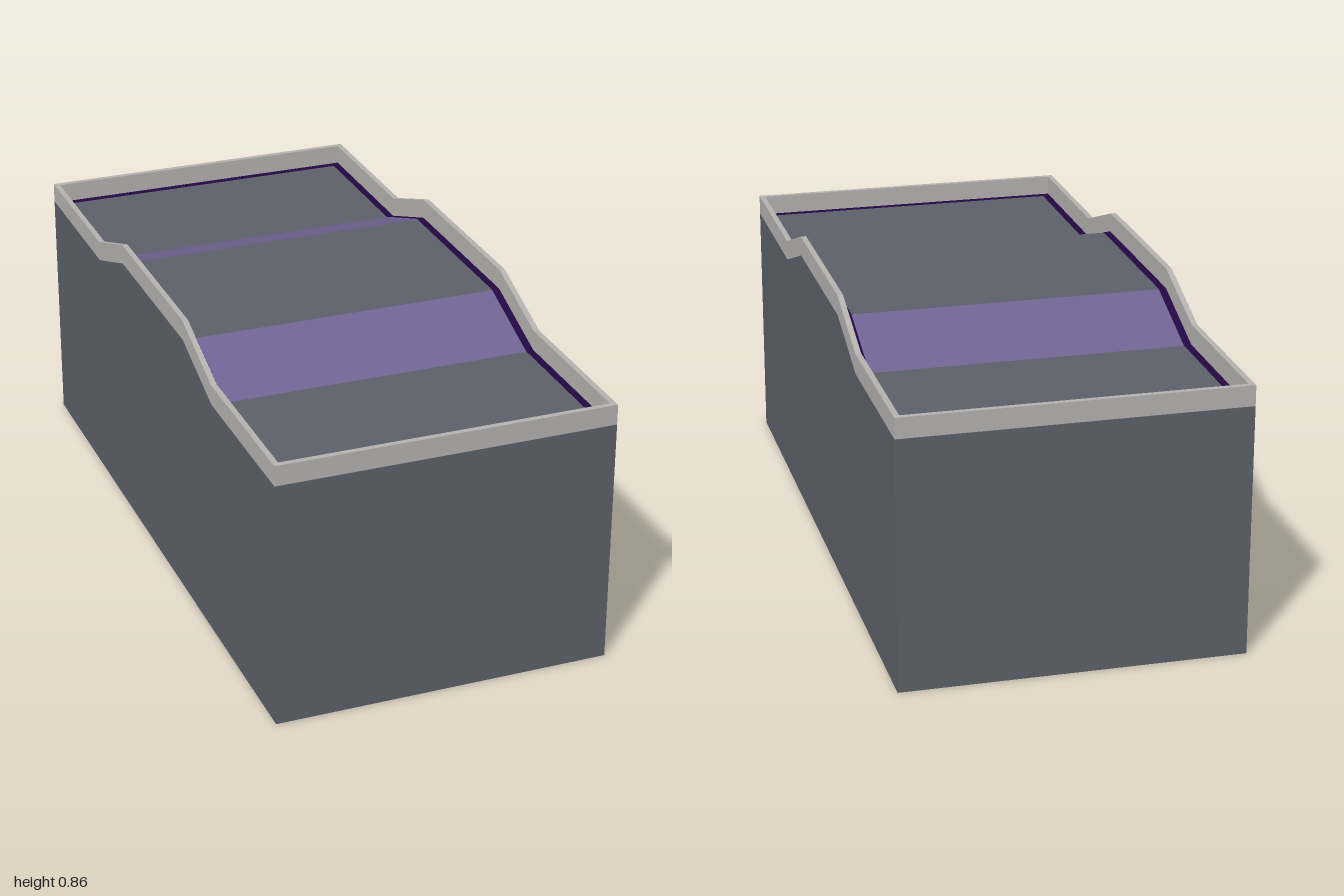
import * as THREE from 'three';

const W = 0.481, L = 1, LOW = 0.713, HIGH = 0.8, TRIM_H = 0.059, TRIM_T = 0.016, LINE = 0.022;

// Roof line from back to front as [z, y]
const ROOF = [[-L, LOW], [-0.512, LOW], [-0.275, HIGH], [0.275, HIGH], [0.512, LOW], [L, LOW]];

const mat = (name, color, side = THREE.FrontSide) => {
  const m = new THREE.MeshStandardMaterial({ color, side });
  m.name = name;
  return m;
};

// Upward-facing sheet that follows a [z, y] line between two x positions
function ribbon(line, x0, x1, lift = 0) {
  const pos = [];
  for (let i = 0; i < line.length - 1; i++) {
    const [za, ya] = line[i], [zb, yb] = line[i + 1];
    const a = [x0, ya + lift, za], b = [x0, yb + lift, zb];
    const c = [x1, yb + lift, zb], d = [x1, ya + lift, za];
    pos.push(...a, ...b, ...c, ...a, ...c, ...d);
  }
  const g = new THREE.BufferGeometry();
  g.setAttribute('position', new THREE.Float32BufferAttribute(pos, 3));
  g.computeVertexNormals();
  return g;
}

const outline = (points) => new THREE.Shape(points.map(([z, y]) => new THREE.Vector2(z, y)));

export function createModel() {
  const group = new THREE.Group();
  const wall = mat('wall grey', 0x5c5f68, THREE.DoubleSide);
  const slope = mat('slope purple', 0x6f6393, THREE.DoubleSide);
  const trim = mat('trim light grey', 0xb3b1ae);
  const edge = mat('border dark purple', 0x220842);

  const add = (name, geometry, material) => {
    const m = new THREE.Mesh(geometry, material);
    m.name = name;
    group.add(m);
    return m;
  };

  // Roof sheets: flat sections grey, slopes purple
  for (let i = 0; i < 5; i++) {
    const sloped = i % 2 === 1;
    add(sloped ? 'roofSlope' : 'roofFlat', ribbon(ROOF.slice(i, i + 2), -W, W), sloped ? slope : wall);
  }

  // Open-bottomed walls and the raised rim above them
  const sideShape = outline([[-L, 0], [L, 0], ...[...ROOF].reverse()]);
  const rimShape = outline([
    ...ROOF.map(([z, y]) => [z, y + 0.001]),
    ...[...ROOF].reverse().map(([z, y]) => [z, y + TRIM_H]),
  ]);
  const inX = W - TRIM_T, inZ = L - TRIM_T;

  for (const s of [-1, 1]) {
    const side = new THREE.ShapeGeometry(sideShape).rotateY(-Math.PI / 2);
    add('sideWall', side, wall).position.x = s * W;

    const end = new THREE.PlaneGeometry(2 * W, LOW);
    if (s < 0) end.rotateY(Math.PI);
    add('endWall', end, wall).position.set(0, LOW / 2, s * L);

    const rim = new THREE.ExtrudeGeometry(rimShape, { depth: TRIM_T, bevelEnabled: false });
    rim.rotateY(-Math.PI / 2);
    add('sideRim', rim, trim).position.x = s > 0 ? W : -W + TRIM_T;

    const endRim = new THREE.BoxGeometry(2 * inX, TRIM_H - 0.001, TRIM_T);
    add('endRim', endRim, trim).position.set(0, LOW + (TRIM_H + 0.001) / 2, s * (L - TRIM_T / 2));

    // Dark border lying on the roof just inside the rim
    const inner = ROOF.map(([z, y]) => [THREE.MathUtils.clamp(z, -inZ, inZ), y]);
    const x0 = s > 0 ? inX - LINE : -inX;
    add('sideBorder', ribbon(inner, x0, x0 + LINE, 0.002), edge);
    const z0 = s > 0 ? inZ - LINE : -inZ;
    add('endBorder', ribbon([[z0, LOW], [z0 + LINE, LOW]], -inX + LINE, inX - LINE, 0.002), edge);
  }
  return group;
}
